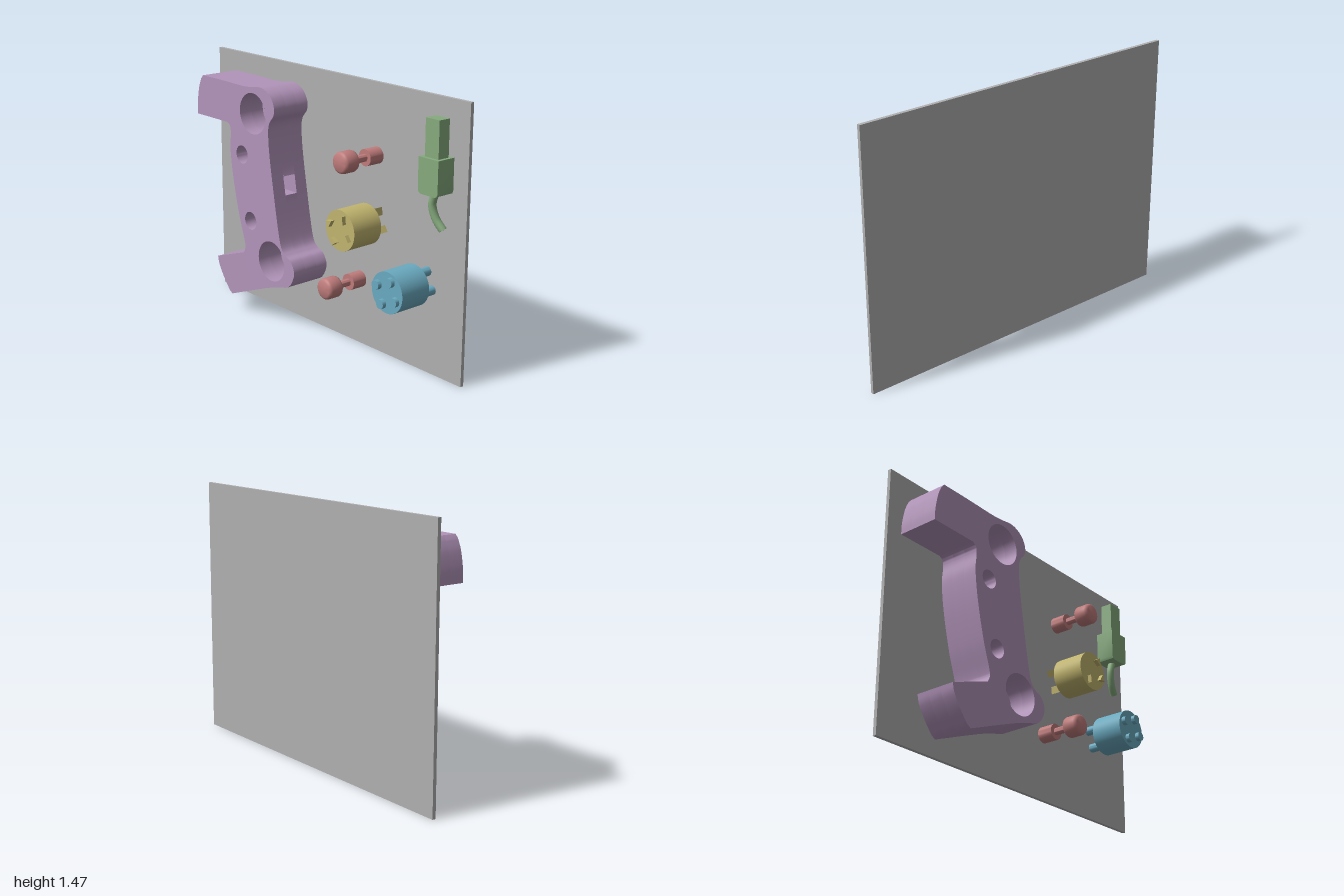
import * as THREE from 'three';
import { toCreasedNormals } from 'three/addons/utils/BufferGeometryUtils.js';

const V = (x, y) => new THREE.Vector2(x, y);
const mat = (name, color) => new THREE.MeshStandardMaterial({ name, color });
const BACK = -0.13, FLOOR = -0.055, SLOT_TOP = 0.025, FRONT = 0.105;

// smooth run through a few [x, y] points
const run = (pts, n) => new THREE.SplineCurve(pts.map(p => V(...p))).getPoints(n);
const circle = (x, y, r, n = 32) =>
  Array.from({ length: n }, (_, i) => V(x + r * Math.cos(i / n * 2 * Math.PI), y + r * Math.sin(i / n * 2 * Math.PI)));
// one loop repeated in four quarter turns about a centre
const fourTurns = (cx, cy, loop) => [0, 1, 2, 3].map(k =>
  loop.map(p => p.clone().rotateAround(V(0, 0), k * Math.PI / 2).add(V(cx, cy))));

function slab(outline, holes, z0, z1) {
  const shape = new THREE.Shape(outline);
  shape.holes = holes.map(h => new THREE.Path(h));
  const g = new THREE.ExtrudeGeometry(shape, { depth: z1 - z0, bevelEnabled: false });
  g.translate(0, 0, z0);
  return toCreasedNormals(g, 0.6);
}

// handle outline, clockwise from the upper left corner
function handleOutline() {
  return [
    ...run([[-0.845, 1.355], [-0.66, 1.355], [-0.47, 1.352], [-0.39, 1.358], [-0.305, 1.366], [-0.235, 1.335],
      [-0.2, 1.28], [-0.203, 1.23], [-0.24, 1.18], [-0.25, 1.12], [-0.24, 0.995], [-0.205, 0.78], [-0.17, 0.59],
      [-0.145, 0.497], [-0.11, 0.46], [-0.065, 0.438], [-0.037, 0.39], [-0.043, 0.342], [-0.085, 0.285],
      [-0.176, 0.257], [-0.283, 0.222], [-0.604, 0.096]], 110),
    ...run([[-0.63, 0.112], [-0.685, 0.18], [-0.725, 0.245], [-0.738, 0.294]], 10),
    ...run([[-0.485, 0.383], [-0.47, 0.417], [-0.477, 0.46], [-0.524, 0.604], [-0.572, 0.807], [-0.594, 0.968],
      [-0.588, 1.064], [-0.595, 1.105], [-0.62, 1.123]], 48),
    ...run([[-0.904, 1.123], [-0.902, 1.19], [-0.885, 1.28], [-0.862, 1.335]], 12),
  ];
}

export function createModel() {
  const root = new THREE.Group();
  const grey = mat('panel grey', 0xb0b0b0), purple = mat('handle purple', 0xb294ba), red = mat('peg red', 0xc07c7c);
  const yellow = mat('triangle plug yellow', 0xc0b46e), blue = mat('round plug blue', 0x6aaac0);
  const green = mat('connector green', 0x86ab7e);
  const add = (name, geo, m, parent = root) => {
    const mesh = new THREE.Mesh(geo, m);
    mesh.name = name;
    parent.add(mesh);
    return mesh;
  };
  const group = name => {
    const g = new THREE.Group();
    g.name = name;
    root.add(g);
    return g;
  };

  // backing panel
  add('backPanel', new THREE.BoxGeometry(2, 1.47, 0.02), grey).position.set(0, 0.735, -0.14);

  // handle: three layers form the sockets, peg holes and side slot
  const handle = group('handle');
  const outline = handleOutline();
  const pegHoles = [circle(-0.487, 0.96, 0.052), circle(-0.417, 0.588, 0.052)];
  const sockets = [circle(-0.385, 1.21, 0.115, 48), circle(-0.233, 0.395, 0.115, 48)];
  const keyHoles = [
    ...fourTurns(-0.385, 1.21, [V(-0.016, 0.11), V(-0.043, 0.056), V(0.021, 0.051)]),
    ...fourTurns(-0.233, 0.395, circle(-0.013, 0.061, 0.037, 24)),
  ];
  const inSlot = p => p.x > -0.3 && p.y > 0.77 && p.y < 0.875;
  const first = outline.findIndex(inSlot);
  const slotted = outline.filter(p => !inSlot(p));
  slotted.splice(first, 0, V(-0.22, 0.875), V(-0.4, 0.875), V(-0.4, 0.77), V(-0.203, 0.77));
  add('handleBase', slab(outline, [...pegHoles, ...keyHoles], BACK, FLOOR), purple, handle);
  add('handleSlotLayer', slab(slotted, [...pegHoles, ...sockets], FLOOR, SLOT_TOP), purple, handle);
  add('handleFront', slab(outline, [...pegHoles, ...sockets], SLOT_TOP, FRONT), purple, handle);

  // pegs: base, thin neck and rounded head
  const pegProfile = [[0, BACK], [0.045, BACK], [0.045, -0.04], [0.02, -0.04], [0.02, 0.043], [0.046, 0.043],
    [0.054, 0.047], [0.058, 0.057], [0.058, 0.118], [0.054, 0.13], [0.043, 0.137], [0, 0.137]].map(p => V(...p));
  const pegGeo = toCreasedNormals(new THREE.LatheGeometry(pegProfile, 32).rotateX(Math.PI / 2), 0.8);
  for (const [name, x, y] of [['upperPeg', 0.364, 1.088], ['lowerPeg', 0.246, 0.374]])
    add(name, pegGeo, red).position.set(x, y, 0);

  // plugs: drum with four pins passing through
  const plug = (name, x, y, pin, m) => {
    const g = group(name);
    add('drum', slab(circle(x, y, 0.11, 48), [], -0.06, 0.127), m, g);
    for (const loop of fourTurns(x, y, pin)) add('pin', slab(loop, [], BACK, 0.15), m, g);
  };
  plug('trianglePlug', 0.364, 0.73, [V(-0.086, 0.04), V(-0.064, 0.008), V(-0.043, 0.045)], yellow);
  plug('roundPlug', 0.719, 0.492, circle(0.029, 0.064, 0.025, 24), blue);

  // connector: tab, body with rounded lower corners, curved cable
  const connector = group('connector');
  add('tab', new THREE.BoxGeometry(0.092, 0.2, 0.07), green, connector).position.set(0.839, 1.276, -0.075);
  const body = [V(0.77, 1.182), V(0.77, 1.015), V(0.776, 1.001), V(0.79, 0.995),
    V(0.884, 0.995), V(0.898, 1.001), V(0.904, 1.015), V(0.904, 1.182)];
  add('body', slab(body, [], BACK, -0.02), green, connector);
  const path = new THREE.CatmullRomCurve3([[0.836, 1.0, -0.075], [0.819, 0.935, -0.075], [0.838, 0.865, -0.083],
    [0.877, 0.812, -0.095]].map(p => new THREE.Vector3(...p)));
  add('cable', new THREE.TubeGeometry(path, 24, 0.021, 16), green, connector);
  const cap = add('cableEnd', new THREE.CircleGeometry(0.021, 16), green, connector);
  cap.position.copy(path.getPoint(1));
  cap.lookAt(path.getPoint(1).add(path.getTangent(1)));
  return root;
}
